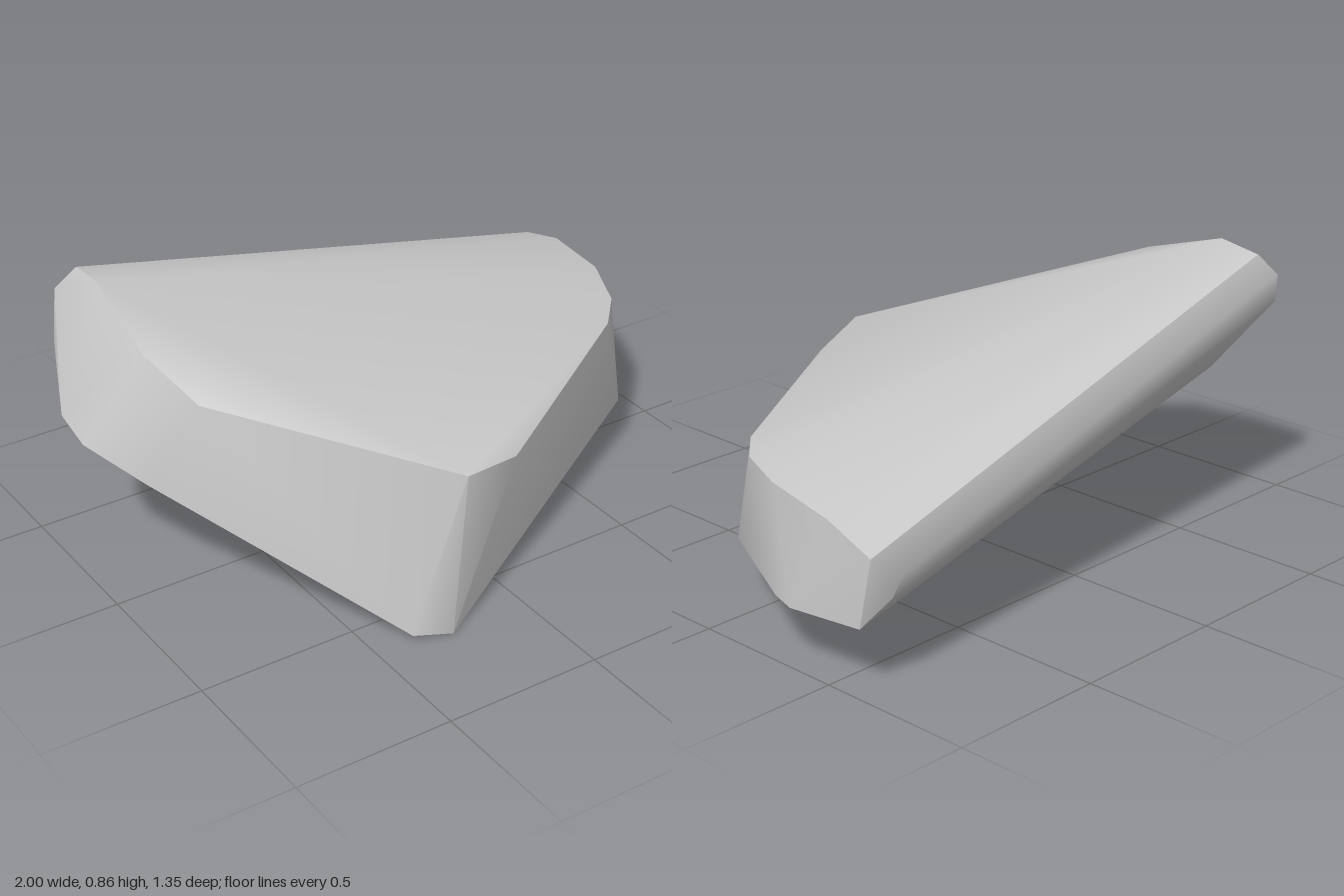
import * as THREE from 'three';
import { ConvexGeometry } from 'three/addons/geometries/ConvexGeometry.js';
import { toCreasedNormals } from 'three/addons/utils/BufferGeometryUtils.js';

// Corners of the tilted upper face
const topRim = [
  [-0.2, 0.505, 0.65], [0.02, 0.46, 0.58], [0.72, 0.475, 0.12], [0.83, 0.478, 0],
  [0.92, 0.483, -0.2], [0.965, 0.465, -0.47], [0.98, 0.41, -0.65],
  [-0.8, 0.835, -0.53], [-0.81, 0.855, -0.38], [-0.83, 0.76, -0.07], [-0.76, 0.66, 0.12],
];

// Widest outline of the high end and the back
const girdle = [
  [-1, 0.51, -0.28], [-1, 0.475, -0.15], [-0.89, 0.39, 0.02], [-0.91, 0.64, -0.49],
  [-0.86, 0.765, -0.565], [-0.865, 0.675, -0.555], [0.89, 0.34, -0.675], [0.91, 0.28, -0.66],
];

// Corners of the underside, bulging below the high end
const underside = [
  [-0.26, 0, 0.672], [-0.38, 0.02, 0.64], [0.78, 0.175, 0.12],
  [0.98, 0.185, -0.27], [1, 0.18, -0.35], [0.99, 0.2, -0.615],
  [-0.7, 0.47, -0.44], [-0.85, 0.495, -0.36],
];

export function createModel() {
  const group = new THREE.Group();
  group.name = 'rock';

  const stone = new THREE.MeshStandardMaterial({ color: 0xc8c8c8 });
  stone.name = 'stone grey';

  // Chipped slab: soft across shallow bends, sharp along the rims
  const corners = [...topRim, ...girdle, ...underside].map((p) => new THREE.Vector3(...p));
  const slab = new THREE.Mesh(toCreasedNormals(new ConvexGeometry(corners), 0.7), stone);
  slab.name = 'rockSlab';
  group.add(slab);
  return group;
}
